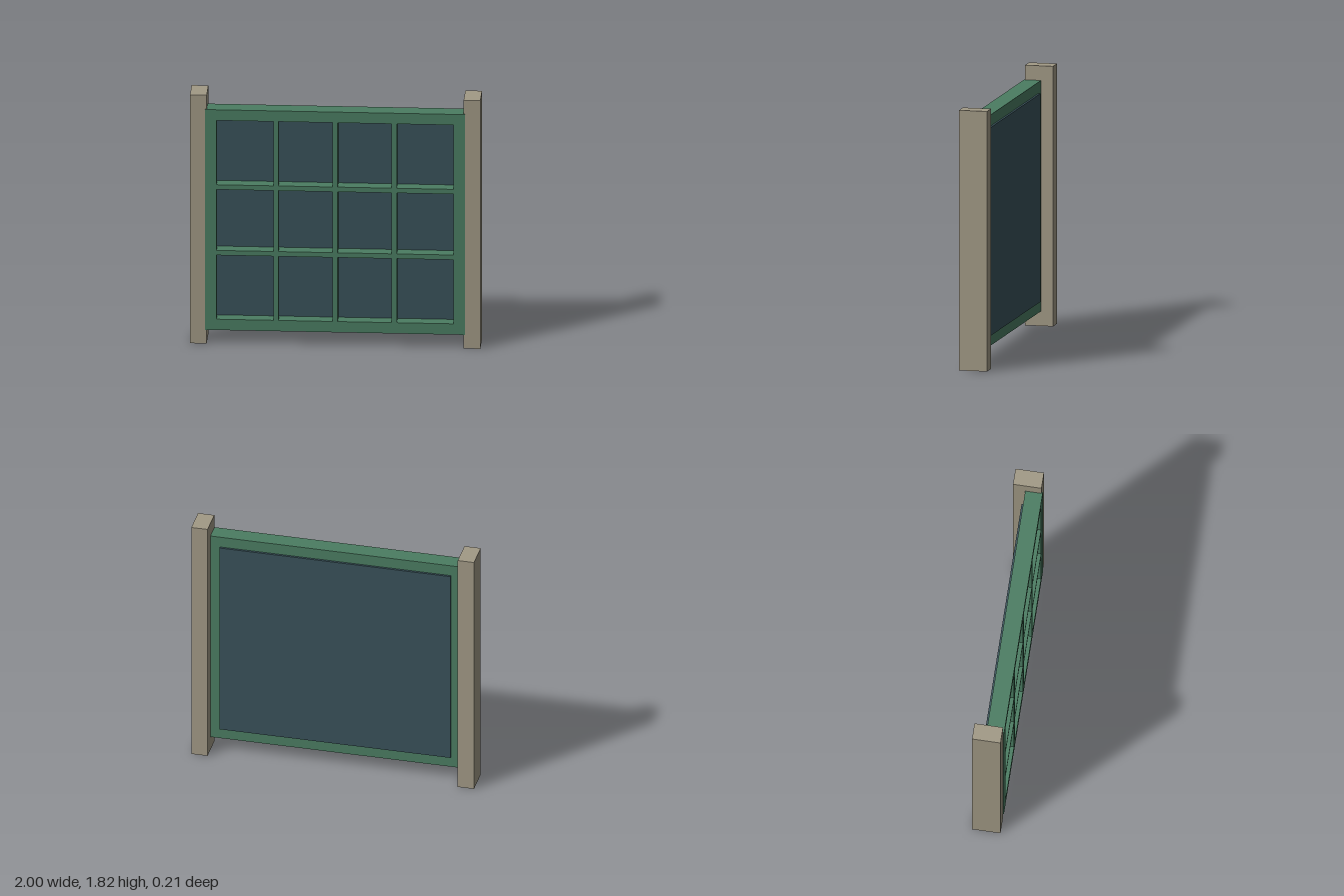
import * as THREE from 'three';

const wood = new THREE.MeshStandardMaterial({ color: 0xa29a86 });
const green = new THREE.MeshStandardMaterial({ color: 0x4b7d62 });
const slate = new THREE.MeshStandardMaterial({ color: 0x39525b });

// Box given by its minimum and maximum corners
function box(name, material, [x0, y0, z0], [x1, y1, z1]) {
  const mesh = new THREE.Mesh(new THREE.BoxGeometry(x1 - x0, y1 - y0, z1 - z0), material);
  mesh.position.set((x0 + x1) / 2, (y0 + y1) / 2, (z0 + z1) / 2);
  mesh.name = name;
  return mesh;
}

function rect(path, x0, y0, x1, y1) {
  path.moveTo(x0, y0);
  path.lineTo(x1, y0);
  path.lineTo(x1, y1);
  path.lineTo(x0, y1);
  path.closePath();
  return path;
}

export function createModel() {
  const model = new THREE.Group();
  model.name = 'fencePanel';

  // Square posts at both ends
  model.add(box('leftPost', wood, [0.885, 0, -0.103], [1, 1.815, 0.095]));
  model.add(box('rightPost', wood, [-1, 0, -0.103], [-0.885, 1.815, 0.095]));

  // Frame with a 4 x 3 lattice of openings
  const columns = [[-0.817, -0.425], [-0.39, -0.018], [0.018, 0.39], [0.425, 0.817]];
  const rows = [[0.182, 0.65], [0.685, 1.13], [1.165, 1.635]];
  const outline = rect(new THREE.Shape(), -0.895, 0.103, 0.895, 1.713);
  for (const [x0, x1] of columns) {
    for (const [y0, y1] of rows) outline.holes.push(rect(new THREE.Path(), x0, y0, x1, y1));
  }
  const frame = new THREE.Mesh(
    new THREE.ExtrudeGeometry(outline, { depth: 0.121, bevelEnabled: false }), green);
  frame.position.z = -0.018;
  frame.name = 'latticeFrame';
  model.add(frame);

  // Backing panel, standing slightly proud of the frame's back
  model.add(box('backPanel', slate, [-0.817, 0.182, -0.033], [0.817, 1.635, 0.013]));

  return model;
}
